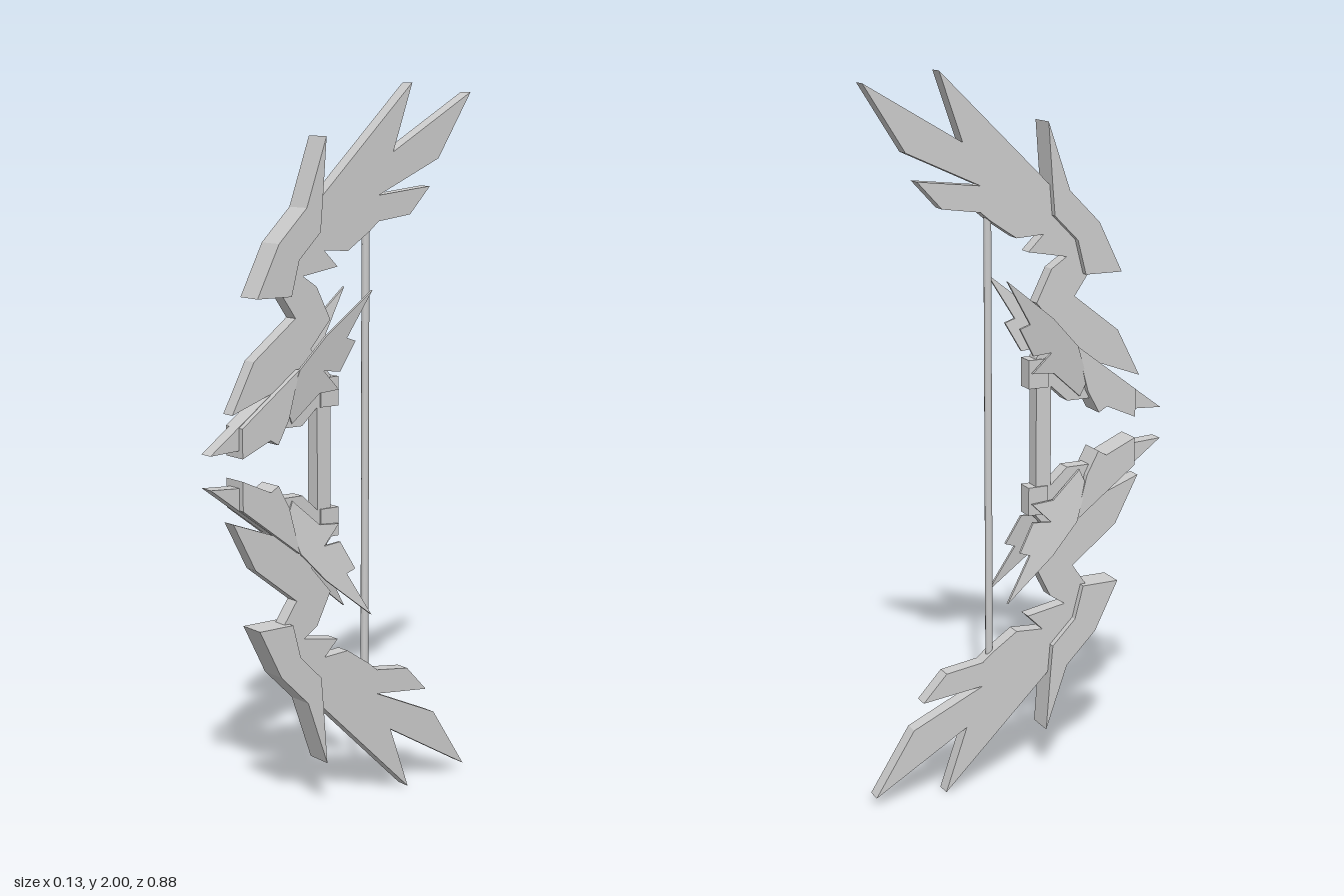
import * as THREE from 'three';

// Outlines are [z, y] pairs of the upper half; the lower half mirrors them about y = 1.
const LIMB = [
  [-0.23, 2.0], [-0.165, 1.815], [-0.44, 1.975], [-0.325, 1.795], [-0.115, 1.70], [-0.295, 1.72],
  [-0.225, 1.645], [-0.115, 1.63], [-0.085, 1.605], [-0.01, 1.555], [0.07, 1.56], [0.025, 1.515],
  [0.14, 1.495], [0.095, 1.465], [0.05, 1.375], [0.115, 1.30], [0.05, 1.225], [0.03, 1.145],
  [0.09, 1.145], [0.145, 1.095], [0.215, 1.095], [0.22, 1.20], [0.37, 1.145], [0.30, 1.28],
  [0.165, 1.385], [0.21, 1.45], [0.165, 1.54], [0.095, 1.61], [0.09, 1.69]];
const ARMOUR = [
  [0.075, 1.86], [0.14, 1.675], [0.23, 1.585], [0.30, 1.445], [0.19, 1.445],
  [0.165, 1.54], [0.095, 1.61], [0.088, 1.69]];
const BEAK = [[0.44, 1.045], [0.165, 1.25], [0.20, 1.15], [0.30, 1.06], [0.35, 1.05]];
const GUARD = [[0.35, 1.11], [0.165, 1.25], [0.20, 1.12], [0.235, 1.055], [0.26, 1.07], [0.35, 1.03]];
const FEATHER = [
  [-0.06, 1.45], [0.015, 1.325], [-0.015, 1.315], [0.03, 1.235], [0.085, 1.24], [0.03, 1.185],
  [0.095, 1.18], [0.18, 1.105], [0.20, 1.15], [0.165, 1.25], [0.085, 1.335]];
const OFFSET = 0.0025;

// Plate cut from an outline, centred on x
function plate(points, width, lower) {
  const shape = new THREE.Shape(points.map(([z, y]) => new THREE.Vector2(z, lower ? 2 - y : y)));
  const geo = new THREE.ExtrudeGeometry(shape, { depth: width, bevelEnabled: false });
  geo.translate(0, 0, -width / 2);
  geo.rotateY(-Math.PI / 2);
  return geo;
}

export function createModel() {
  const model = new THREE.Group();
  model.name = 'bow';
  const grey = new THREE.MeshStandardMaterial({ color: 0xcccccc });
  grey.name = 'light grey';

  const add = (name, geo, x = OFFSET, y = 0, z = 0) => {
    const mesh = new THREE.Mesh(geo, grey);
    mesh.name = name;
    mesh.position.set(x, y, z);
    model.add(mesh);
  };

  for (const lower of [false, true]) {
    const half = lower ? 'lower' : 'upper';
    add(half + 'Limb', plate(LIMB, 0.042, lower));
    add(half + 'Armour', plate(ARMOUR, 0.078, lower));
    add(half + 'Beak', plate(BEAK, 0.042, lower));
    add(half + 'Guard', plate(GUARD, 0.076, lower));
    // Grip end block
    add(half + 'GripBlock', new THREE.BoxGeometry(0.05, 0.08, 0.06), OFFSET, lower ? 0.82 : 1.18, 0.055);

    // Thin side feathers flare outwards towards their tips
    for (const side of [-1, 1]) {
      const geo = plate(FEATHER, 0.008, lower);
      const p = geo.attributes.position;
      for (let i = 0; i < p.count; i++) {
        const rise = Math.abs(p.getY(i) - 1) - 0.1;
        p.setX(i, p.getX(i) + side * (0.022 + 0.115 * rise));
      }
      geo.computeVertexNormals();
      add(half + (side > 0 ? 'LeftFeather' : 'RightFeather'), geo, 0);
    }
  }

  // Grip and string
  add('grip', new THREE.BoxGeometry(0.042, 0.3, 0.045), OFFSET, 1, 0.072);
  add('string', new THREE.CylinderGeometry(0.011, 0.011, 1.24, 8), OFFSET, 1, -0.086);
  return model;
}
